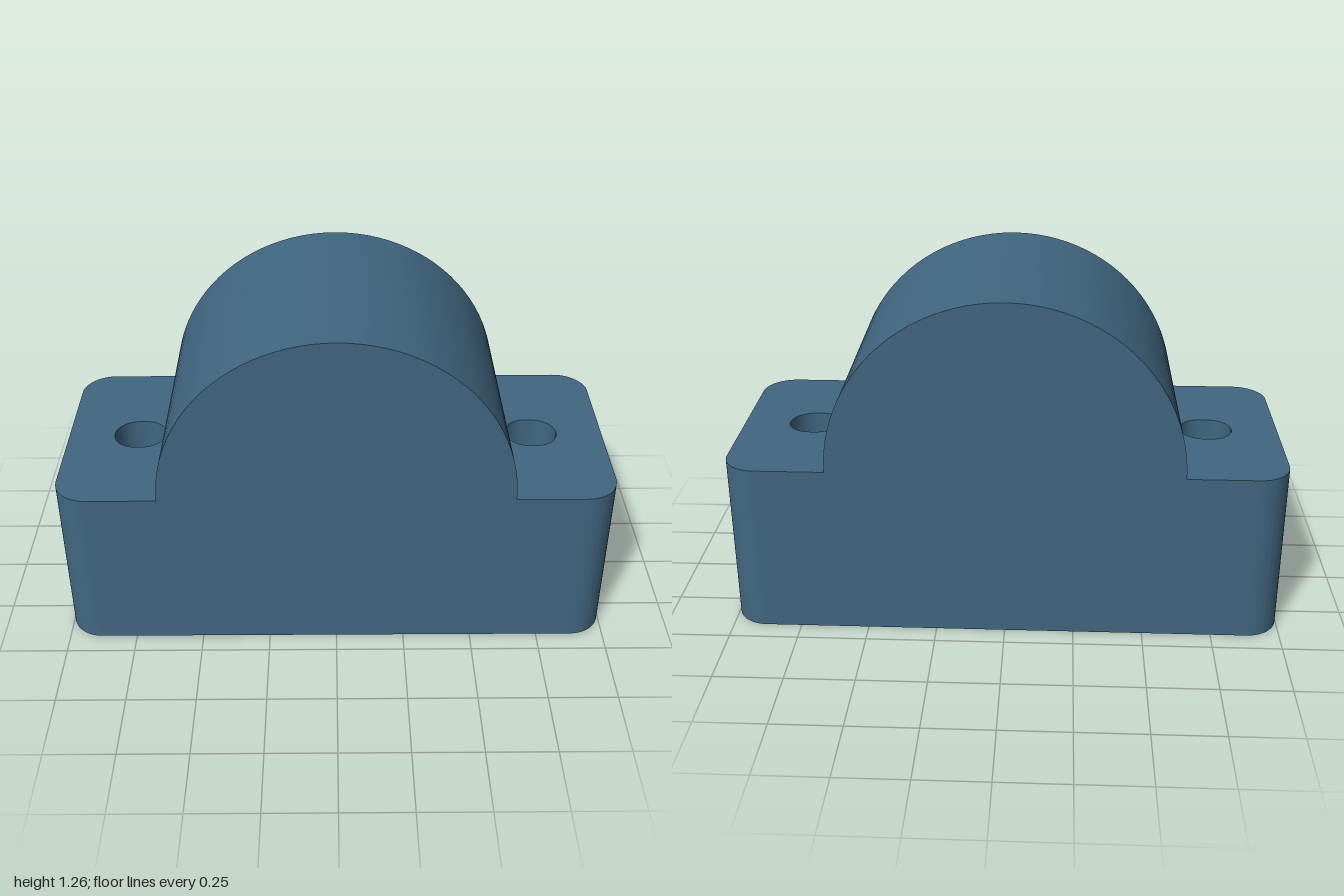
import * as THREE from 'three';
import { toCreasedNormals } from 'three/addons/utils/BufferGeometryUtils.js';

const HALF_DEPTH = 0.42;
const BASE_HEIGHT = 0.632;
const DOME_RADIUS = 0.63;

// Rounded rectangle outline; with r equal to half the height it becomes a slot
function roundedOutline(path, cx, halfW, halfH, r) {
  const x = halfW - r, y = halfH - r, q = Math.PI / 2;
  path.moveTo(cx + halfW, -y);
  [[x, y], [-x, y], [-x, -y], [x, -y]].forEach(([px, py], i) =>
    path.absarc(cx + px, py, r, i * q, (i + 1) * q, false));
  path.closePath();
  return path;
}

export function createModel() {
  const group = new THREE.Group();
  group.name = 'bearingBlock';
  const steelBlue = new THREE.MeshStandardMaterial({ color: 0x416781 });
  steelBlue.name = 'steel blue';

  // Base block with rounded corners and two slotted bolt holes
  const outline = roundedOutline(new THREE.Shape(), 0, 1, HALF_DEPTH, 0.12);
  for (const side of [-1, 1]) {
    outline.holes.push(roundedOutline(new THREE.Path(), side * 0.734, 0.097, 0.086, 0.086));
  }
  const baseGeometry = new THREE.ExtrudeGeometry(outline, {
    depth: BASE_HEIGHT, bevelEnabled: false, curveSegments: 12,
  });
  baseGeometry.rotateX(-Math.PI / 2);
  const base = new THREE.Mesh(toCreasedNormals(baseGeometry, 0.6), steelBlue);
  base.name = 'base';
  group.add(base);

  // Half-round housing lying front to back on the base
  const domeGeometry = new THREE.CylinderGeometry(
    DOME_RADIUS, DOME_RADIUS, 2 * HALF_DEPTH, 48, 1, false, Math.PI / 2, Math.PI);
  domeGeometry.rotateX(Math.PI / 2);
  const dome = new THREE.Mesh(domeGeometry, steelBlue);
  dome.name = 'halfRoundHousing';
  dome.position.y = BASE_HEIGHT;
  group.add(dome);

  return group;
}
